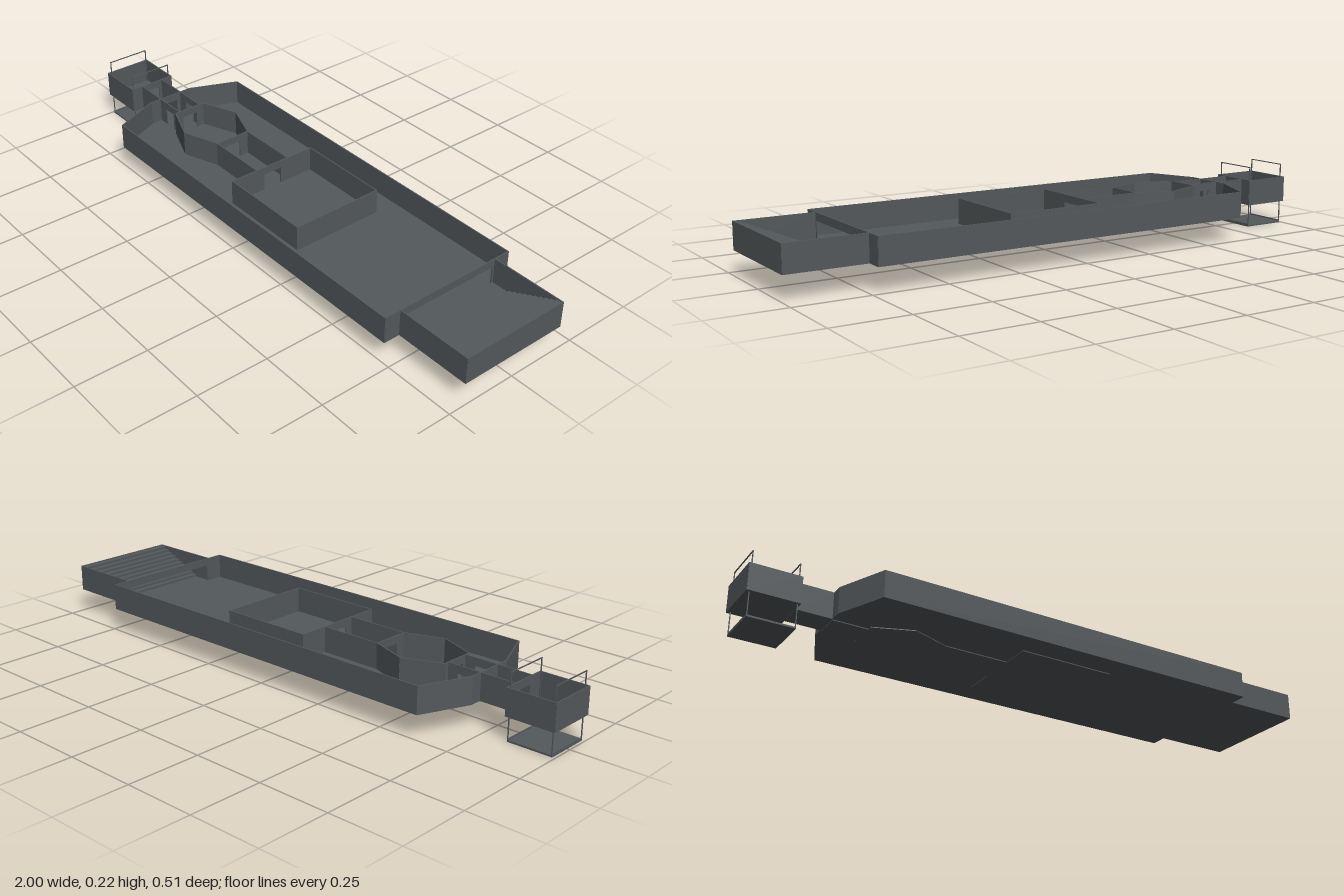
import * as THREE from 'three';

const BASE = 0.081, TOP = 0.172, THICK = 0.004, LINTEL = 0.027;

export function createModel() {
  const model = new THREE.Group();
  model.name = 'walledDeck';
  const steel = new THREE.MeshStandardMaterial({ color: 0x54595c });
  steel.name = 'darkSteel';

  function box(parent, name, size, pos) {
    const m = new THREE.Mesh(new THREE.BoxGeometry(...size), steel);
    m.name = name;
    m.position.set(...pos);
    parent.add(m);
    return m;
  }

  // Thin wall from a to b (x, z); an optional door leaves a gap under a lintel
  function wall(parent, name, a, b, door = 0) {
    const g = new THREE.Group();
    g.name = name;
    const dx = b[0] - a[0], dz = b[1] - a[1];
    const len = Math.hypot(dx, dz), h = TOP - BASE;
    g.position.set((a[0] + b[0]) / 2, BASE, (a[1] + b[1]) / 2);
    g.rotation.y = -Math.atan2(dz, dx);
    if (door) {
      const side = (len - door) / 2;
      for (const s of [-1, 1]) {
        box(g, 'doorJamb', [side, h, THICK], [s * (door + side) / 2, h / 2, 0]);
      }
      box(g, 'doorLintel', [door, LINTEL, THICK], [0, h - LINTEL / 2, 0]);
    } else {
      box(g, 'panel', [len + THICK * 0.6, h, THICK], [0, h / 2, 0]);
    }
    parent.add(g);
  }

  // Flat floor from a half outline [x, z] mirrored across z
  function floor(parent, name, half, y0, y1) {
    const pts = [...half, ...half.map(([x, z]) => [x, -z]).reverse()];
    const shape = new THREE.Shape(pts.map(([x, z]) => new THREE.Vector2(x, -z)));
    const geo = new THREE.ExtrudeGeometry(shape, { depth: y1 - y0, bevelEnabled: false });
    geo.rotateX(-Math.PI / 2);
    const m = new THREE.Mesh(geo, steel);
    m.name = name;
    m.position.y = y0;
    parent.add(m);
  }

  // Room from its half outline: mirrored side walls, floor, and end walls
  // (null = open end, 0 = solid, otherwise door width)
  function room(name, half, floorY, startDoor, endDoor, sideDoors = {}) {
    const g = new THREE.Group();
    g.name = name;
    floor(g, name + 'Floor', half, ...floorY);
    for (const s of [-1, 1]) {
      for (let i = 0; i + 1 < half.length; i++) {
        const [a, b] = [half[i], half[i + 1]];
        wall(g, name + 'SideWall', [a[0], a[1] * s], [b[0], b[1] * s], sideDoors[i]);
      }
    }
    const ends = [[half[0], startDoor], [half[half.length - 1], endDoor]];
    for (const [[x, z], door] of ends) {
      if (door !== null) wall(g, name + 'EndWall', [x, -z], [x, z], door);
    }
    model.add(g);
    return g;
  }

  const outer = [BASE, 0.085], inner = [0.078, 0.0856];

  // Outer hall with chamfered corners and a wide opening to the stairs
  room('hall', [[-0.71, 0.085], [-0.64, 0.252], [0.73, 0.252]], outer, 0.085, 0.37);

  // Chain of inner rooms
  room('entryPassage', [[-0.71, 0.043], [-0.59, 0.043]], inner, 0.05, null, { 0: 0.045 });
  room('hexRoom', [[-0.59, 0.06], [-0.46, 0.112], [-0.33, 0.065]], inner, 0.06, 0.06);
  room('innerPassage', [[-0.33, 0.065], [-0.108, 0.065]], inner, null, null);
  room('mainRoom', [[-0.108, 0.166], [0.23, 0.166]], inner, 0.07, 0);
  room('bridge', [[-0.83, 0.043], [-0.71, 0.043]], outer, null, null);

  // Stairwell rising towards the end wall
  const stairwell = room('stairwell', [[0.73, 0.194], [0.998, 0.194]], outer, null, 0);
  const steps = 10, run = 0.196 / steps;
  for (let i = 0; i < steps; i++) {
    const h = (i + 1) * 0.084 / steps;
    box(stairwell, 'step', [run, h, 0.384], [0.8 + (i + 0.5) * run, 0.085 + h / 2, 0]);
  }

  // Lift shaft with a hanging platform on corner posts
  room('liftShaft', [[-0.998, 0.085], [-0.832, 0.085]], outer, 0, 0.06);
  const lift = new THREE.Group();
  lift.name = 'lift';
  model.add(lift);
  box(lift, 'liftPlatform', [0.154, 0.006, 0.156], [-0.914, 0.003, 0]);
  for (const x of [-0.989, -0.839]) {
    for (const z of [-0.077, 0.077]) {
      box(lift, 'liftPost', [0.003, 0.218, 0.003], [x, 0.109, z]);
    }
    box(lift, 'liftTopBar', [0.003, 0.003, 0.157], [x, 0.2175, 0]);
    box(lift, 'liftLowerBar', [0.003, 0.004, 0.154], [x, 0.008, 0]);
  }

  return model;
}
